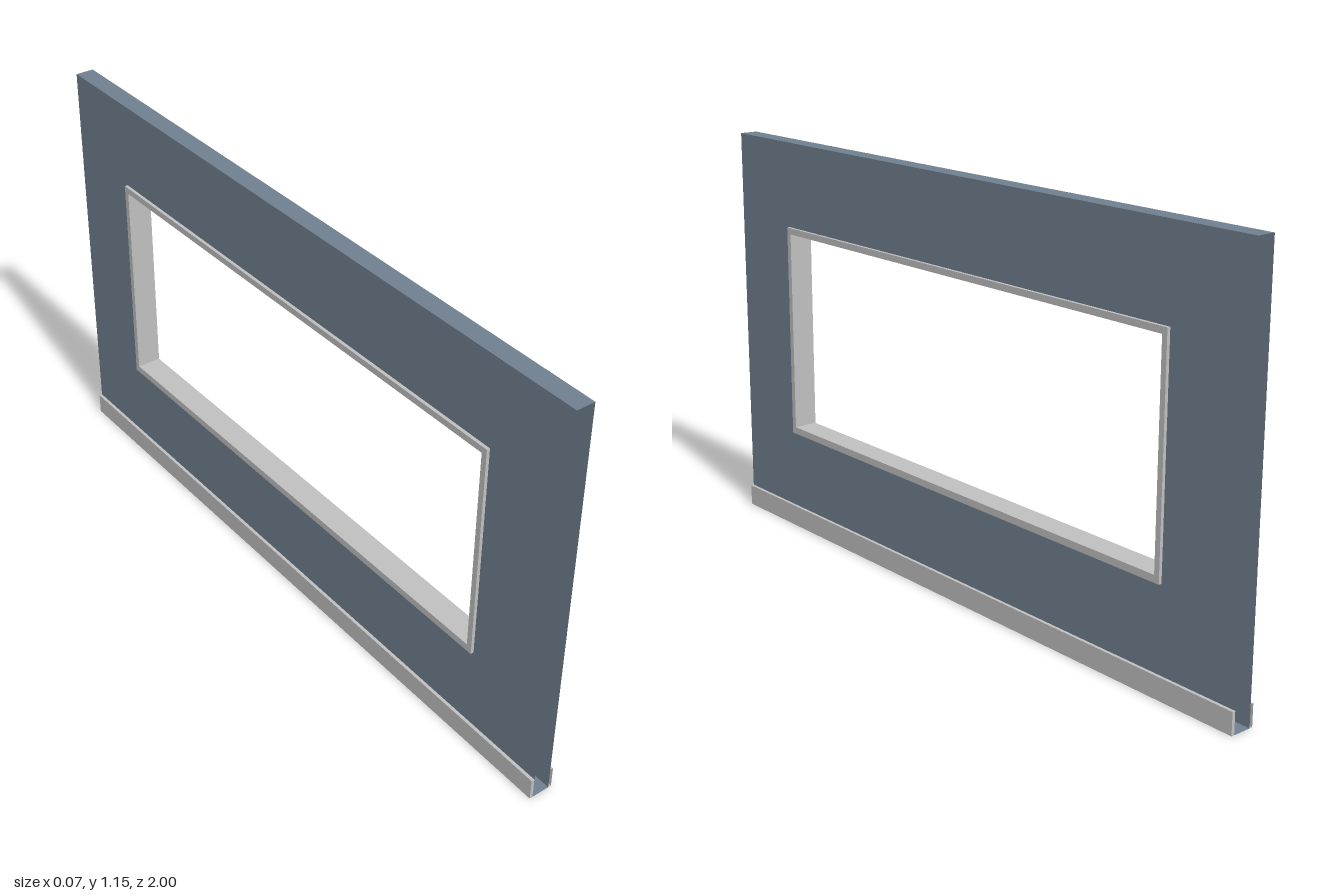
import * as THREE from 'three';

const LENGTH = 2, HEIGHT = 1.155;
const HALF = 0.026, LIP = 0.009;            // half wall thickness, trim projection
const SKIRT = 0.061;                        // baseboard height
const OPEN = { w: 1.482, y0: 0.313, y1: 0.893 };
const FRAME = { w: 1.514, y0: 0.293, y1: 0.911 };

// Traces an upright rectangle centred on x = 0
function rect(path, w, y0, y1) {
  path.moveTo(-w / 2, y0);
  path.lineTo(w / 2, y0);
  path.lineTo(w / 2, y1);
  path.lineTo(-w / 2, y1);
  path.closePath();
  return path;
}

function ring(outer, inner) {
  const shape = rect(new THREE.Shape(), outer.w, outer.y0, outer.y1);
  shape.holes.push(rect(new THREE.Path(), inner.w, inner.y0, inner.y1));
  return shape;
}

export function createModel() {
  const wallMat = new THREE.MeshStandardMaterial({ color: 0x708090, side: THREE.DoubleSide });
  wallMat.name = 'slate wall';
  const trimMat = new THREE.MeshStandardMaterial({ color: 0xc0c0c0, side: THREE.DoubleSide });
  trimMat.name = 'light trim';

  const model = new THREE.Group();
  model.name = 'windowWall';

  function add(parent, name, geometry, material, x = 0, y = 0, z = 0) {
    const mesh = new THREE.Mesh(geometry, material);
    mesh.name = name;
    mesh.position.set(x, y, z);
    parent.add(mesh);
    return mesh;
  }

  // A thin sheet turned about x or y
  function sheet(parent, name, w, h, material, pos, rx = 0, ry = 0) {
    add(parent, name, new THREE.PlaneGeometry(w, h), material, ...pos).rotation.set(rx, ry, 0);
  }

  // Two identical faces, back to back
  for (const [name, turn] of [['leftSide', Math.PI / 2], ['rightSide', -Math.PI / 2]]) {
    const side = new THREE.Group();
    side.name = name;
    side.rotation.y = turn;
    model.add(side);

    const panel = new THREE.ShapeGeometry(ring({ w: LENGTH, y0: 0, y1: HEIGHT }, OPEN));
    add(side, 'wallPanel', panel, wallMat, 0, 0, HALF);

    const frame = new THREE.ExtrudeGeometry(ring(FRAME, OPEN), { depth: LIP, bevelEnabled: false });
    add(side, 'windowFrame', frame, trimMat, 0, 0, HALF);

    // Baseboard shell, closed at one end only
    const mid = HALF + LIP / 2;
    sheet(side, 'baseboardFace', LENGTH, SKIRT, trimMat, [0, SKIRT / 2, HALF + LIP]);
    sheet(side, 'baseboardTop', LENGTH, LIP, trimMat, [0, SKIRT, mid], -Math.PI / 2);
    sheet(side, 'baseboardBottom', LENGTH, LIP, trimMat, [0, 0, mid], Math.PI / 2);
    sheet(side, 'baseboardEnd', LIP, SKIRT, trimMat, [LENGTH / 2, SKIRT / 2, mid], 0, Math.PI / 2);
  }

  // Wall top and bottom, and window lining; the wall ends stay open
  const core = new THREE.Group();
  core.name = 'core';
  core.rotation.y = Math.PI / 2;
  model.add(core);
  const T = HALF * 2, H = OPEN.y1 - OPEN.y0, Q = Math.PI / 2;
  sheet(core, 'wallTop', LENGTH, T, wallMat, [0, HEIGHT, 0], -Q);
  sheet(core, 'wallBottom', LENGTH, T, wallMat, [0, 0, 0], Q);
  sheet(core, 'windowSill', OPEN.w, T, trimMat, [0, OPEN.y0, 0], -Q);
  sheet(core, 'windowHead', OPEN.w, T, trimMat, [0, OPEN.y1, 0], Q);
  for (const s of [-1, 1]) {
    sheet(core, 'windowJamb', T, H, trimMat, [s * OPEN.w / 2, (OPEN.y0 + OPEN.y1) / 2, 0], 0, -s * Q);
  }

  return model;
}
